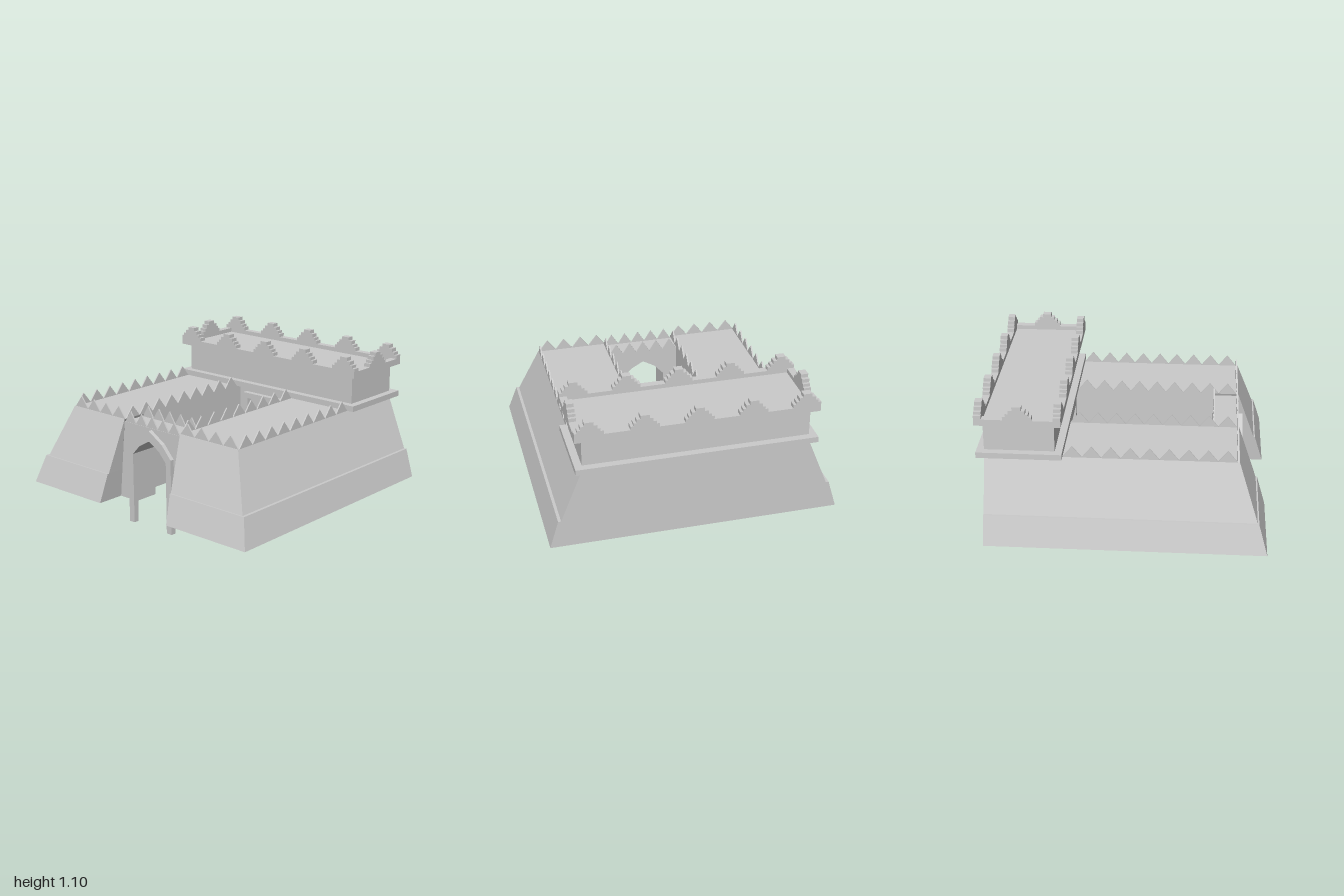
import * as THREE from 'three';

const mat = new THREE.MeshStandardMaterial({ color: 0xcccccc, flatShading: true, side: THREE.DoubleSide });

export function createModel() {
  const root = new THREE.Group();
  root.name = 'fortress';
  const fort = new THREE.Group();
  fort.name = 'fort';
  fort.position.x = -0.005;
  root.add(fort);

  const group = (name) => {
    const g = new THREE.Group();
    g.name = name;
    fort.add(g);
    return g;
  };
  const add = (parent, name, geo, x = 0, y = 0, z = 0, ry = 0) => {
    const m = new THREE.Mesh(geo, mat);
    m.name = name;
    m.position.set(x, y, z);
    m.rotation.y = ry;
    parent.add(m);
    return m;
  };
  // box given by its minimum and maximum corners
  const box = (parent, name, x0, x1, y0, y1, z0, z1) =>
    add(parent, name, new THREE.BoxGeometry(x1 - x0, y1 - y0, z1 - z0), (x0 + x1) / 2, (y0 + y1) / 2, (z0 + z1) / 2);
  const outline = (pts) => new THREE.Shape(pts.map(([x, y]) => new THREE.Vector2(x, y)));
  const extrude = (pts, depth) => new THREE.ExtrudeGeometry(outline(pts), { depth, bevelEnabled: false });

  // --- Battered outer walls: open-bottomed shell, one mirrored half per side
  const base = 0.15, top = 0.72, back = -0.92, gateFront = 0.77, gateBack = 0.59, courtBack = -0.45, courtX = 0.26;
  // [y, outer x, inner x, front z]
  const levels = [
    [base, 0.995, 0.315, 0.97],
    [0.35, 0.935, 0.295, 0.91],
    [0.35, 0.915, 0.295, 0.9],
    [top, 0.765, courtX, gateFront],
  ];
  const walls = group('outerWalls');
  for (const s of [1, -1]) {
    const pos = [];
    const quad = (...c) => {
      const order = s > 0 ? [0, 1, 2, 0, 2, 3] : [0, 2, 1, 0, 3, 2];
      for (const i of order) pos.push(c[i][0] * s, c[i][1], c[i][2]);
    };
    for (let i = 0; i < 3; i++) {
      const [y0, o0, i0, f0] = levels[i], [y1, o1, i1, f1] = levels[i + 1];
      quad([i0, y0, f0], [o0, y0, f0], [o1, y1, f1], [i1, y1, f1]); // front
      quad([o0, y0, f0], [o0, y0, back], [o1, y1, back], [o1, y1, f1]); // flank
      if (y0 !== y1) {
        quad([i0, y0, gateFront], [i0, y0, f0], [i1, y1, f1], [i1, y1, gateFront]); // gate cheek
        quad([o0, y0, back], [0, y0, back], [0, y1, back], [o1, y1, back]); // rear
      }
    }
    const xo = 0.765;
    quad([courtX, top, gateFront], [xo, top, gateFront], [xo, top, courtBack], [courtX, top, courtBack]); // walk
    quad([0, top, courtBack], [xo, top, courtBack], [xo, top, back], [0, top, back]); // rear roof
    quad([courtX, base, courtBack], [courtX, base, gateBack], [courtX, top, gateBack], [courtX, top, courtBack]); // court side
    quad([0, base, courtBack], [courtX, base, courtBack], [courtX, top, courtBack], [0, top, courtBack]); // court rear
    const geo = new THREE.BufferGeometry();
    geo.setAttribute('position', new THREE.Float32BufferAttribute(pos, 3));
    geo.computeVertexNormals();
    add(walls, s > 0 ? 'leftWallHalf' : 'rightWallHalf', geo);
  }

  // --- Gate wall with pointed passage, and its projecting frame
  const gate = group('gate');
  const archInner = [[-0.155, 0.5], [-0.09, 0.57], [0, 0.62], [0.09, 0.57], [0.155, 0.5]];
  const archOuter = [[-0.2, 0.53], [-0.12, 0.62], [0, 0.695], [0.12, 0.62], [0.2, 0.53]];
  const innerBack = [...archInner].reverse();
  add(gate, 'gateWall', extrude([
    [-0.315, base], [-courtX, 0.705], [courtX, 0.705], [0.315, base],
    [0.155, base], ...innerBack, [-0.155, base],
  ], gateFront - gateBack), 0, 0, gateBack);
  add(gate, 'gateFrame', extrude([
    [-0.2, 0], ...archOuter, [0.2, 0], [0.155, 0], ...innerBack, [-0.155, 0],
  ], 0.04), 0, 0, 0.76);

  // --- Square door frame at the rear of the courtyard
  add(fort, 'courtDoorFrame', extrude([
    [-0.2, base], [-0.2, 0.68], [0.2, 0.68], [0.2, base],
    [0.16, base], [0.16, 0.64], [-0.16, 0.64], [-0.16, base],
  ], 0.04), 0, 0, courtBack);

  // --- Thin triangular teeth along the wall tops
  const teeth = group('wallTeeth');
  const row = (name, x0, z0, x1, z1, y, n) => {
    const len = Math.hypot(x1 - x0, z1 - z0), w = len / n / 2;
    const geo = extrude([[-w, 0], [w, 0], [0, 0.08]], 0.01);
    geo.translate(0, 0, -0.005);
    for (let i = 0; i < n; i++) {
      const t = (i + 0.5) / n;
      add(teeth, name, geo, x0 + (x1 - x0) * t, y, z0 + (z1 - z0) * t, x0 === x1 ? Math.PI / 2 : 0);
    }
  };
  for (const s of [1, -1]) {
    row('frontTooth', s * 0.26, 0.76, s * 0.76, 0.76, top, 4);
    row('flankTooth', s * 0.76, 0.755, s * 0.76, -0.4, top, 9);
    row('courtTooth', s * 0.262, 0.755, s * 0.262, -0.4, top, 9);
  }
  row('gateFrontTooth', -0.255, 0.762, 0.255, 0.762, 0.705, 5);
  row('gateRearTooth', -0.255, 0.595, 0.255, 0.595, 0.705, 5);

  // --- Keep over the rear of the fort
  const keep = group('keep');
  const kz0 = -0.97, kz1 = -0.4, kx = 0.815, t = 0.05;
  box(keep, 'keepBaseSlab', -kx, kx, 0.72, 0.76, kz0, kz1);
  box(keep, 'keepWalls', -0.765, 0.765, 0.76, 0.96, back, courtBack);
  box(keep, 'keepRoof', -kx, kx, 0.96, 0.975, kz0, kz1);
  for (const z of [kz0, kz1 - t]) box(keep, 'parapet', -kx, kx, 0.975, 1.005, z, z + t);
  for (const x of [-kx, kx - t]) box(keep, 'sideParapet', x, x + t, 0.975, 1.005, kz0 + t, kz1 - t);

  // stepped merlons: [half width, top y] from the outside in
  const steps = [[0.095, 1.03], [0.075, 1.05], [0.055, 1.075], [0.03, 1.1]];
  const half = [];
  let y = 1.005;
  for (const [w, h] of steps) {
    half.push([w, y], [w, h]);
    y = h;
  }
  const merlon = extrude([...half, ...half.map(([x, h]) => [-x, h]).reverse()], t);
  merlon.translate(0, 0, -t / 2);
  for (let i = -2; i <= 2; i++) {
    for (const z of [kz0 + t / 2, kz1 - t / 2]) add(keep, 'merlon', merlon, i * 0.36, 0, z);
  }
  for (const s of [1, -1]) add(keep, 'sideMerlon', merlon, s * (kx - t / 2), 0, (kz0 + kz1) / 2, Math.PI / 2);

  return root;
}
